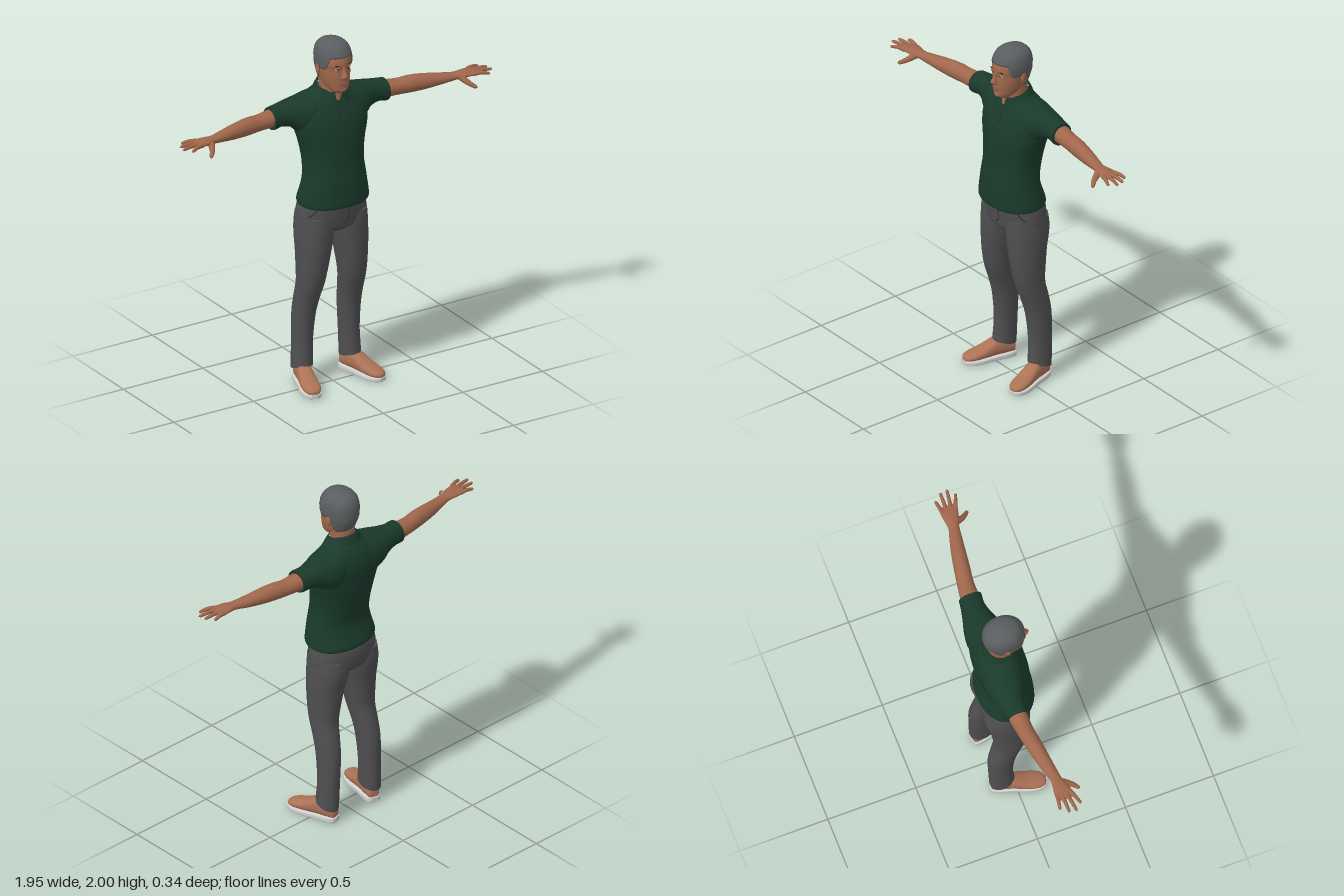
import * as THREE from 'three';

const mat = (name, color, side = THREE.FrontSide) =>
  Object.assign(new THREE.MeshStandardMaterial({ color, side }), { name });
const { lerp, smoothstep } = THREE.MathUtils;

// Row interpolation: a row is [t, a0, a1, b0, b1], the bounds of one cross-section
function rowAt(rows, k) {
  const last = rows.length - 1, i = Math.min(Math.floor(k), last - 1), f = k - i;
  const r = j => rows[Math.max(0, Math.min(last, j))];
  return rows[0].map((_, c) => {
    const [p, q, s, u] = [r(i - 1)[c], r(i)[c], r(i + 1)[c], r(i + 2)[c]];
    const m = (s - p) / 2, n = (u - q) / 2;
    return q + f * (m + f * (3 * (s - q) - 2 * m - n + f * (2 * (q - s) + m + n)));
  });
}

// Row index at which an ascending row list reaches t
function indexAt(rows, t) {
  let lo = 0, hi = rows.length - 1;
  for (let i = 0; i < 30; i++) {
    const mid = (lo + hi) / 2;
    if (rowAt(rows, mid)[0] < t) lo = mid; else hi = mid;
  }
  return lo;
}

// Superellipse point of a cross-section, grown outwards by off
function ringPoint([t, a0, a1, b0, b1], th, n, axis, off = 0) {
  const pw = v => Math.sign(v) * Math.abs(v) ** (2 / n);
  const a = (a0 + a1) / 2 + ((a1 - a0) / 2 + off) * pw(Math.cos(th));
  const b = (b0 + b1) / 2 + ((b1 - b0) / 2 + off) * pw(Math.sin(th));
  return axis === 'y' ? [a, t, b] : axis === 'x' ? [t, a, b] : [a, b, t];
}

// Front z of a y-axis loft at a given x and y
function frontZ(rows, x, y, n) {
  const [, a0, a1, b0, b1] = rowAt(rows, indexAt(rows, y));
  const u = Math.min(1, Math.abs((x - (a0 + a1) / 2) / ((a1 - a0) / 2)));
  return (b0 + b1) / 2 + (b1 - b0) / 2 * (1 - u ** n) ** (1 / n);
}

// Grid surface; rings are closed unless an arc is given
function grid(nu, nv, fn, flip, closed = true, cap = false) {
  const pos = [], idx = [], w = closed ? nv : nv + 1;
  const tri = (a, b, c) => flip ? idx.push(a, c, b) : idx.push(a, b, c);
  for (let i = 0; i <= nu; i++) for (let j = 0; j < w; j++) pos.push(...fn(i, j));
  for (let i = 0; i < nu; i++) for (let j = 0; j < nv; j++) {
    const a = i * w + j, b = i * w + (j + 1) % w;
    tri(a, b, a + w); tri(b, b + w, a + w);
  }
  if (cap) for (const i of [0, nu]) {
    const start = pos.length / 3, c = [0, 0, 0];
    for (let j = 0; j < w; j++) {
      const p = fn(i, j);
      pos.push(...p);
      p.forEach((v, q) => { c[q] += v / w; });
    }
    pos.push(...c);
    for (let j = 0; j < nv; j++) {
      const a = start + j, b = start + (j + 1) % w;
      if (i) tri(a, b, start + w); else tri(b, a, start + w);
    }
  }
  const g = new THREE.BufferGeometry();
  g.setAttribute('position', new THREE.Float32BufferAttribute(pos, 3));
  g.setIndex(idx);
  g.computeVertexNormals();
  return g;
}

function loft(rows, { axis = 'y', n = 2, seg = 32, sub = 5, arc = null, bend = p => p } = {}) {
  const [s, e] = arc || [0, Math.PI * 2];
  return grid((rows.length - 1) * sub, seg,
    (i, j) => bend(ringPoint(rowAt(rows, i / sub), s + (e - s) * j / seg, n, axis)),
    axis === 'y', !arc, !arc);
}

// Tapered round-ended finger along a curve
function finger(pts, r0, r1) {
  const curve = new THREE.CatmullRomCurve3(pts.map(p => new THREE.Vector3(...p)));
  const g = new THREE.TubeGeometry(curve, 16, 1, 10), p = g.attributes.position, v = new THREE.Vector3();
  for (let i = 0; i < p.count; i++) {
    const t = Math.floor(i / 11) / 16, c = curve.getPointAt(t);
    const end = Math.sqrt(Math.max(0, 1 - Math.max(0, (t - 0.85) / 0.15) ** 2));
    v.fromBufferAttribute(p, i).sub(c).multiplyScalar(lerp(r0, r1, t) * end).add(c);
    p.setXYZ(i, v.x, v.y, v.z);
  }
  g.computeVertexNormals();
  return g;
}

const seam = pts => new THREE.TubeGeometry(
  new THREE.CatmullRomCurve3(pts.map(p => new THREE.Vector3(...p))), 12, 0.0025, 5);
const blob = (x, y, z, rx, ry, rz, tilt = 0) =>
  new THREE.SphereGeometry(1, 20, 14).scale(rx, ry, rz).rotateZ(tilt).translate(x, y, z);

function mirrored(geo) {
  const g = geo.clone().scale(-1, 1, 1), ix = g.index.array;
  for (let i = 0; i < ix.length; i += 3) [ix[i], ix[i + 1]] = [ix[i + 1], ix[i]];
  return g;
}

export function createModel() {
  const model = new THREE.Group();
  model.name = 'standingMan';
  const skin = mat('skin', 0xa0674c), lip = mat('lips', 0x8a5243), hair = mat('greyHair', 0x5b5e60);
  const shirt = mat('greenShirt', 0x1a3a2b, THREE.DoubleSide), pants = mat('greyTrousers', 0x4f4f51);
  const dark = mat('darkDetail', 0x2a2524), shoe = mat('tanShoe', 0xac7256);
  const sole = mat('paleSole', 0xcfcfcf), white = mat('eyeWhite', 0xc9bdb4);
  const add = (name, geo, m) => {
    const mesh = new THREE.Mesh(geo, m);
    mesh.name = name;
    model.add(mesh);
  };
  const pair = (name, geo, m) => { add(name + 'Left', geo, m); add(name + 'Right', mirrored(geo), m); };
  const sym = rows => rows.map(([t, w, b0, b1]) => [t, -w, w, b0, b1]);

  // Head and neck
  const headRows = sym([[1.712, 0.03, 0.03, 0.085], [1.722, 0.045, 0, 0.1], [1.74, 0.058, -0.03, 0.107],
    [1.77, 0.07, -0.07, 0.109], [1.81, 0.078, -0.09, 0.11], [1.85, 0.082, -0.105, 0.107],
    [1.88, 0.084, -0.108, 0.112], [1.91, 0.084, -0.108, 0.105], [1.95, 0.075, -0.097, 0.086],
    [1.978, 0.05, -0.067, 0.056], [1.99, 0.001, -0.006, -0.004]]);
  add('head', loft(headRows, { n: 2.15, seg: 40 }), skin);
  add('neck', loft(sym([[1.64, 0.04, -0.07, 0.066], [1.68, 0.062, -0.085, 0.052],
    [1.72, 0.064, -0.09, 0.045], [1.78, 0.065, -0.092, 0.05]])), skin);

  // Hair: a shell over the skull with a hairline that varies around the head
  const hairLine = th => {
    const f = Math.sin(th);
    return lerp(lerp(1.775, 1.852, smoothstep(f, -0.55, -0.2)), 1.922, smoothstep(f, 0.4, 0.75));
  };
  add('hair', grid(18, 56, (i, j) => {
    const th = j / 56 * Math.PI * 2, s = Math.max(0, i - 1) / 17;
    const k = lerp(indexAt(headRows, hairLine(th)), headRows.length - 1, s);
    const p = ringPoint(rowAt(headRows, k), th, 2.15, 'y', i === 0 ? -0.004 : 0.01 * (1 - s ** 6));
    p[1] += 0.01 * s * s;
    return p;
  }, true), hair);

  // Face
  const onFace = (x, y, d) => frontZ(headRows, x, y, 2.15) + d;
  add('nose', loft(sym([[1.797, 0.008, 0.095, 0.112], [1.806, 0.018, 0.09, 0.131], [1.82, 0.016, 0.09, 0.139],
    [1.845, 0.01, 0.09, 0.125], [1.878, 0.008, 0.09, 0.113]]), { seg: 18 }), skin);
  add('upperLip', blob(0, 1.776, 0.106, 0.026, 0.005, 0.013), lip);
  add('lowerLip', blob(0, 1.767, 0.105, 0.022, 0.006, 0.013), lip);
  add('chin', blob(0, 1.735, 0.092, 0.028, 0.017, 0.018), skin);
  pair('eye', blob(0.033, 1.858, onFace(0.033, 1.858, -0.004), 0.014, 0.006, 0.007), white);
  pair('iris', blob(0.032, 1.858, onFace(0.032, 1.858, 0.001), 0.0055, 0.0055, 0.004), dark);
  pair('eyelid', blob(0.033, 1.865, onFace(0.033, 1.865, -0.004), 0.017, 0.005, 0.009), skin);
  pair('eyebrow', blob(0.035, 1.879, onFace(0.035, 1.879, -0.003), 0.02, 0.0035, 0.006, -0.08), dark);
  pair('ear', blob(0, 0, 0, 0.011, 0.034, 0.019).rotateX(-0.15).rotateY(0.3).translate(0.087, 1.838, -0.012), skin);

  // Polo shirt
  const torsoRows = sym([[1.065, 0.197, -0.15, 0.146], [1.09, 0.2, -0.155, 0.15], [1.2, 0.18, -0.123, 0.143],
    [1.3, 0.171, -0.137, 0.132], [1.4, 0.183, -0.156, 0.125], [1.5, 0.21, -0.168, 0.115],
    [1.58, 0.215, -0.17, 0.095], [1.64, 0.18, -0.155, 0.068], [1.685, 0.125, -0.13, 0.045],
    [1.715, 0.075, -0.1, 0.03]]);
  add('shirtBody', loft(torsoRows, { n: 2.25, seg: 48 }), shirt);
  pair('sleeve', loft([[0.05, 1.5, 1.705, -0.15, 0.045], [0.12, 1.46, 1.695, -0.163, 0.06],
    [0.19, 1.48, 1.68, -0.155, 0.045], [0.24, 1.52, 1.67, -0.142, 0.02], [0.3, 1.536, 1.66, -0.128, 0.004],
    [0.345, 1.531, 1.657, -0.12, 0.008], [0.36, 1.532, 1.655, -0.119, 0.008]], { axis: 'x', n: 2.1 }), shirt);
  add('collar', loft(sym([[1.668, 0.108, -0.12, 0.085], [1.695, 0.092, -0.112, 0.072],
    [1.722, 0.076, -0.1, 0.056], [1.718, 0.07, -0.094, 0.05]]), {
    arc: [Math.PI * 0.58, Math.PI * 2.42],
    bend: ([x, y, z]) => [x, y - 0.35 * z, z],
  }), shirt);
  add('placket', new THREE.BoxGeometry(0.032, 0.1, 0.008).rotateX(-0.43).translate(0, 1.61, 0.083), shirt);
  add('placketSeam', seam([1.575, 1.61, 1.65].map(y => [-0.017, y, frontZ(torsoRows, 0, y, 2.25) + 0.002])), dark);

  // Arms run into the palms
  pair('arm', loft([[0.3, 1.545, 1.645, -0.11, -0.005], [0.36, 1.545, 1.642, -0.108, -0.005],
    [0.44, 1.545, 1.635, -0.096, -0.004], [0.5, 1.544, 1.64, -0.086, 0.004], [0.56, 1.546, 1.638, -0.075, 0.012],
    [0.63, 1.552, 1.63, -0.06, 0.02], [0.7, 1.562, 1.62, -0.042, 0.028], [0.76, 1.572, 1.614, -0.025, 0.036],
    [0.8, 1.577, 1.615, -0.028, 0.05], [0.84, 1.582, 1.613, -0.034, 0.06], [0.875, 1.588, 1.608, -0.033, 0.062],
    [0.885, 1.593, 1.603, -0.022, 0.05]], { axis: 'x', seg: 28 }), skin);
  [['indexFinger', 0.05, 0.938, 1.592, 0.083], ['middleFinger', 0.027, 0.974, 1.598, 0.046],
    ['ringFinger', 0.002, 0.968, 1.599, 0.006], ['littleFinger', -0.021, 0.934, 1.595, -0.036],
  ].forEach(([name, z, x1, y1, z1]) => pair(name, finger(
    [[0.85, 1.598, z], [(0.85 + x1) / 2, 1.602, (z + z1) / 2], [x1, y1, z1]], 0.0125, 0.008), skin));
  pair('thumb', finger([[0.785, 1.59, 0.03], [0.808, 1.565, 0.078], [0.838, 1.545, 0.113]], 0.02, 0.0095), skin);

  // Trousers
  const hipRows = sym([[0.905, 0.15, -0.11, 0.07], [0.93, 0.193, -0.14, 0.098], [0.97, 0.203, -0.152, 0.108],
    [1.03, 0.199, -0.155, 0.116], [1.09, 0.188, -0.145, 0.12]]);
  add('trouserHips', loft(hipRows, { n: 2.2, seg: 40 }), pants);
  pair('trouserLeg', loft([[0.095, 0.098, 0.206, -0.136, 0], [0.12, 0.097, 0.205, -0.138, -0.003],
    [0.25, 0.094, 0.2, -0.142, -0.008], [0.4, 0.085, 0.2, -0.143, 0.007], [0.5, 0.075, 0.2, -0.127, 0.032],
    [0.6, 0.06, 0.201, -0.106, 0.066], [0.7, 0.043, 0.204, -0.112, 0.085], [0.8, 0.024, 0.206, -0.124, 0.095],
    [0.86, 0.012, 0.207, -0.137, 0.098], [0.93, 0.003, 0.205, -0.147, 0.101], [1, 0.015, 0.198, -0.14, 0.098]], {
    n: 2.15,
    bend: ([x, y, z]) => [x, y + (z + 0.07) * 0.3 * (1 - smoothstep(y, 0.1, 0.25)), z],
  }), pants);
  const onHips = ([x, y]) => [x, y, frontZ(hipRows, x, y, 2.2)];
  add('flySeam', seam([[0.03, 1.065], [0.029, 1.01], [0.02, 0.975], [0, 0.96]].map(onHips)), dark);
  pair('pocketSeam', seam([[0.145, 1.065], [0.16, 1.035], [0.182, 1.01]].map(onHips)), dark);

  // Shoes, toes turned out
  const place = g => g.rotateY(0.26).translate(0.175, 0, 0.015);
  pair('shoe', place(loft(sym([[-0.146, 0.018, 0.02, 0.07], [-0.135, 0.033, 0.02, 0.095],
    [-0.09, 0.041, 0.02, 0.125], [-0.04, 0.043, 0.02, 0.128], [0, 0.046, 0.02, 0.108], [0.05, 0.05, 0.02, 0.083],
    [0.1, 0.048, 0.02, 0.066], [0.135, 0.034, 0.02, 0.054], [0.149, 0.014, 0.02, 0.042]]),
  { axis: 'z', n: 2.3 })), shoe);
  pair('shoeSole', place(loft(sym([[-0.152, 0.018, 0.004, 0.034], [-0.138, 0.037, 0, 0.036],
    [-0.09, 0.045, 0, 0.035], [-0.02, 0.046, 0, 0.031], [0.05, 0.054, 0, 0.029], [0.1, 0.052, 0, 0.028],
    [0.138, 0.037, 0.002, 0.028], [0.154, 0.016, 0.006, 0.027]]), { axis: 'z', n: 5 })), sole);

  return model;
}
